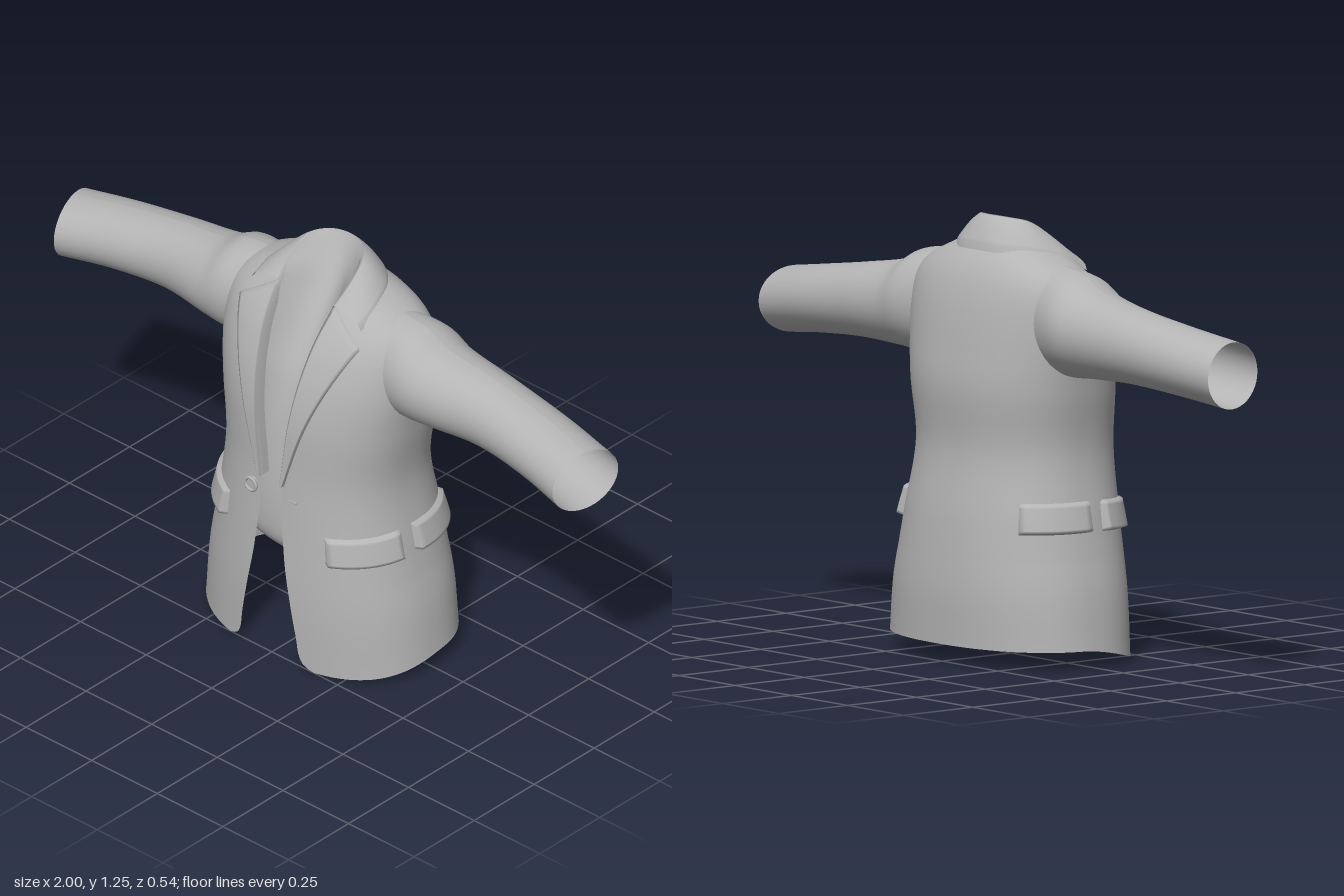
import * as THREE from 'three';

const N = 2.3; // roundness of the torso cross-section

// Smooth interpolation of table rows [key, a, b, ...] at a key value
function sample(table, k) {
  const last = table.length - 1;
  k = Math.min(Math.max(k, table[0][0]), table[last][0]);
  let i = 0;
  while (i < last - 1 && k > table[i + 1][0]) i++;
  const slope = (j, c) => {
    const a = table[Math.max(j - 1, 0)], b = table[Math.min(j + 1, last)];
    return (b[c] - a[c]) / (b[0] - a[0]);
  };
  const p = table[i], q = table[i + 1], h = q[0] - p[0], t = (k - p[0]) / h;
  const t2 = t * t, t3 = t2 * t;
  return p.slice(1).map((_, n) => {
    const c = n + 1;
    return (2 * t3 - 3 * t2 + 1) * p[c] + (t3 - 2 * t2 + t) * h * slope(i, c)
      + (3 * t2 - 2 * t3) * q[c] + (t3 - t2) * h * slope(i + 1, c);
  });
}

// Grid surface from a rule f(u, v) -> [x, y, z]
function surface(f, nu, nv) {
  const pos = [], idx = [];
  for (let j = 0; j <= nv; j++) for (let i = 0; i <= nu; i++) pos.push(...f(i / nu, j / nv));
  for (let j = 0; j < nv; j++) for (let i = 0; i < nu; i++) {
    const a = j * (nu + 1) + i, b = a + nu + 1;
    idx.push(a, a + 1, b, a + 1, b + 1, b);
  }
  const g = new THREE.BufferGeometry();
  g.setAttribute('position', new THREE.Float32BufferAttribute(pos, 3));
  g.setIndex(idx);
  g.computeVertexNormals();
  return g;
}

// Torso: height, half width, front z, back z
const TORSO = [
  [0, 0.393, 0.265, -0.27], [0.2, 0.372, 0.268, -0.27], [0.4, 0.335, 0.26, -0.252],
  [0.6, 0.305, 0.25, -0.222], [0.78, 0.325, 0.245, -0.23], [0.9, 0.34, 0.225, -0.217],
  [1.0, 0.342, 0.192, -0.2], [1.06, 0.33, 0.162, -0.184], [1.1, 0.3, 0.135, -0.168],
  [1.135, 0.245, 0.108, -0.147], [1.16, 0.185, 0.085, -0.125], [1.185, 0.13, 0.05, -0.1],
];
// Front edge: height, distance from the centre line
const EDGE = [
  [0, 0.16], [0.012, 0.13], [0.04, 0.112], [0.1, 0.102], [0.2, 0.083],
  [0.35, 0.056], [0.58, 0.038], [0.8, 0.064], [1.0, 0.088], [1.185, 0.108],
];
// Sleeve: x, centre y, centre z, half height, half depth
const SLEEVE = [
  [0.25, 0.975, -0.015, 0.155, 0.12], [0.35, 0.97, -0.018, 0.146, 0.135],
  [0.42, 0.955, -0.02, 0.126, 0.127], [0.6, 0.942, -0.028, 0.107, 0.108],
  [0.8, 0.921, -0.015, 0.098, 0.108], [0.975, 0.898, 0.01, 0.095, 0.11],
];
// Inner panel: height, centre z, edge z, half width
const PANEL = [
  [0.3, 0.15, 0.1, 0.2], [0.33, 0.2, 0.15, 0.2], [0.4, 0.217, 0.17, 0.2], [0.58, 0.2, 0.18, 0.15],
  [0.85, 0.14, 0.19, 0.1], [1.0, 0.07, 0.16, 0.1], [1.15, -0.02, 0.1, 0.11],
  [1.2, -0.048, 0.035, 0.108], [1.247, -0.072, -0.035, 0.085],
];

const spow = (v, e) => Math.sign(v) * Math.abs(v) ** e;

// Point on the torso at an angle from the front, pushed outwards by off
function torsoPoint(a, y, off = 0) {
  const [w, f, b] = sample(TORSO, y);
  return [(w + off) * spow(Math.sin(a), 2 / N), y,
    (f + b) / 2 + ((f - b) / 2 + off) * spow(Math.cos(a), 2 / N)];
}

function frontZ(x, y) {
  const [w, f, b] = sample(TORSO, y);
  return (f + b) / 2 + (f - b) / 2 * Math.max(0, 1 - Math.abs(x / w) ** N) ** (1 / N);
}

export function createModel() {
  const cloth = new THREE.MeshStandardMaterial({ color: 0xb4b4b4, side: THREE.DoubleSide });
  cloth.name = 'greyCloth';
  const jacket = new THREE.Group();
  jacket.name = 'jacket';
  const add = (name, geometry, parent = jacket) => {
    const m = new THREE.Mesh(geometry, cloth);
    m.name = name;
    parent.add(m);
    return m;
  };

  // Torso shell, open at the front, with the hem rising towards the back
  add('torso', surface((u, v) => {
    const y0 = 1.185 * v ** 1.15;
    const [e] = sample(EDGE, y0), [w] = sample(TORSO, y0);
    const a0 = Math.asin((e / w) ** (N / 2));
    const a = a0 + (2 * Math.PI - 2 * a0) * u;
    const p = torsoPoint(a, y0);
    const hem = 0.054 * THREE.MathUtils.smoothstep(-p[2], -0.28, 0.06);
    p[1] += hem * Math.max(0, 1 - y0 / 0.3);
    return p;
  }, 96, 80));

  // Panel visible between the lapels
  add('innerPanel', surface((u, v) => {
    const y = 0.3 + 0.947 * v, s = u * 2 - 1;
    const [c, e, w] = sample(PANEL, y);
    return [s * w, y, c + (e - c) * s * s];
  }, 20, 50));

  // Collar: band between a lower and an upper curve, rolled over in between
  const half = (pts) => {
    const all = pts.concat(pts.slice(0, -1).reverse().map(([x, y, z]) => [-x, y, z]));
    return new THREE.CatmullRomCurve3(all.map((p) => new THREE.Vector3(...p)), false, 'centripetal');
  };
  const lower = half([
    [0.208, 1.115, frontZ(0.208, 1.115) + 0.02], [0.203, 1.145, 0.03],
    [0.165, 1.163, -0.06], [0.09, 1.17, -0.118], [0, 1.172, -0.132],
  ]);
  const upper = half([
    [0.104, 1.142, frontZ(0.104, 1.142) + 0.015], [0.112, 1.198, 0.045],
    [0.1, 1.238, -0.015], [0.06, 1.25, -0.058], [0, 1.253, -0.074],
  ]);
  add('collar', surface((u, v) => {
    const a = lower.getPoint(u), b = upper.getPoint(u);
    const p = a.clone().lerp(b, Math.min(1, v * 1.1));
    p.y += 0.012 * Math.sin(Math.PI * v);
    if (v < 0.01) p.y -= 0.012; // turned-under edge
    if (v > 0.95) { p.x *= 0.94; p.y -= 0.02; p.z += 0.006; }
    return p.toArray();
  }, 64, 14));

  for (const s of [1, -1]) {
    const side = new THREE.Group();
    side.name = s > 0 ? 'leftSide' : 'rightSide';
    jacket.add(side);

    add('sleeve', surface((u, v) => {
      const x = 0.25 + 0.725 * v, a = u * Math.PI * 2;
      const [cy, cz, ry, rz] = sample(SLEEVE, x);
      const tilt = 0.025 * v * v * Math.sin(a);
      return [s * (x - tilt), cy + ry * Math.cos(a), cz + rz * Math.sin(a)];
    }, 40, 40), side);

    // Lapel lying on the chest, with edges turned under
    add('lapel', surface((u, v) => {
      const t = Math.min(1, v * 1.02);
      const k = Math.min(1, Math.max(0, (u - 0.06) / 0.88));
      const xi = 0.038 + 0.066 * t, yi = 0.58 + 0.56 * t;
      const xo = 0.046 + 0.178 * t - 0.012 * Math.sin(Math.PI * t), yo = 0.58 + 0.48 * t;
      const x = xi + (xo - xi) * k, y = yi + (yo - yi) * k;
      const lift = u === 0 ? -0.03 : u === 1 || v === 1 ? -0.004 : 0.012;
      return [s * x, y, frontZ(x, y) + lift];
    }, 17, 50), side);

    // Two pocket flaps: start angle, end angle, bottom height
    [[0.52, 1.4, 0.365], [1.52, 2.33, 0.38]].forEach(([a0, a1, y0], i) => {
      add(i ? 'backPocketFlap' : 'frontPocketFlap', surface((u, v) => {
        const rim = u === 0 || u === 1 || v === 0 || v === 1;
        const y = y0 + 0.09 * v + 0.014 * (i ? 0 : u);
        const p = torsoPoint(a0 + (a1 - a0) * u, y, rim ? -0.004 : 0.02 - 0.008 * v);
        p[0] *= s;
        return p;
      }, 20, 12), side);
    });
  }

  // Domed button with a rim
  const button = new THREE.Group();
  button.name = 'button';
  button.position.set(-0.072, 0.54, frontZ(0.072, 0.54) + 0.004);
  button.rotation.x = Math.PI / 2;
  jacket.add(button);
  add('buttonDisc', new THREE.CylinderGeometry(0.021, 0.021, 0.012, 24), button);
  const rim = add('buttonRim', new THREE.TorusGeometry(0.02, 0.005, 8, 24), button);
  rim.rotation.x = Math.PI / 2;
  rim.position.y = 0.006;

  // Buttonhole stitch on the other edge
  const hole = add('buttonhole', new THREE.BoxGeometry(0.032, 0.005, 0.006));
  hole.position.set(0.077, 0.54, frontZ(0.077, 0.54) + 0.001);

  return jacket;
}
